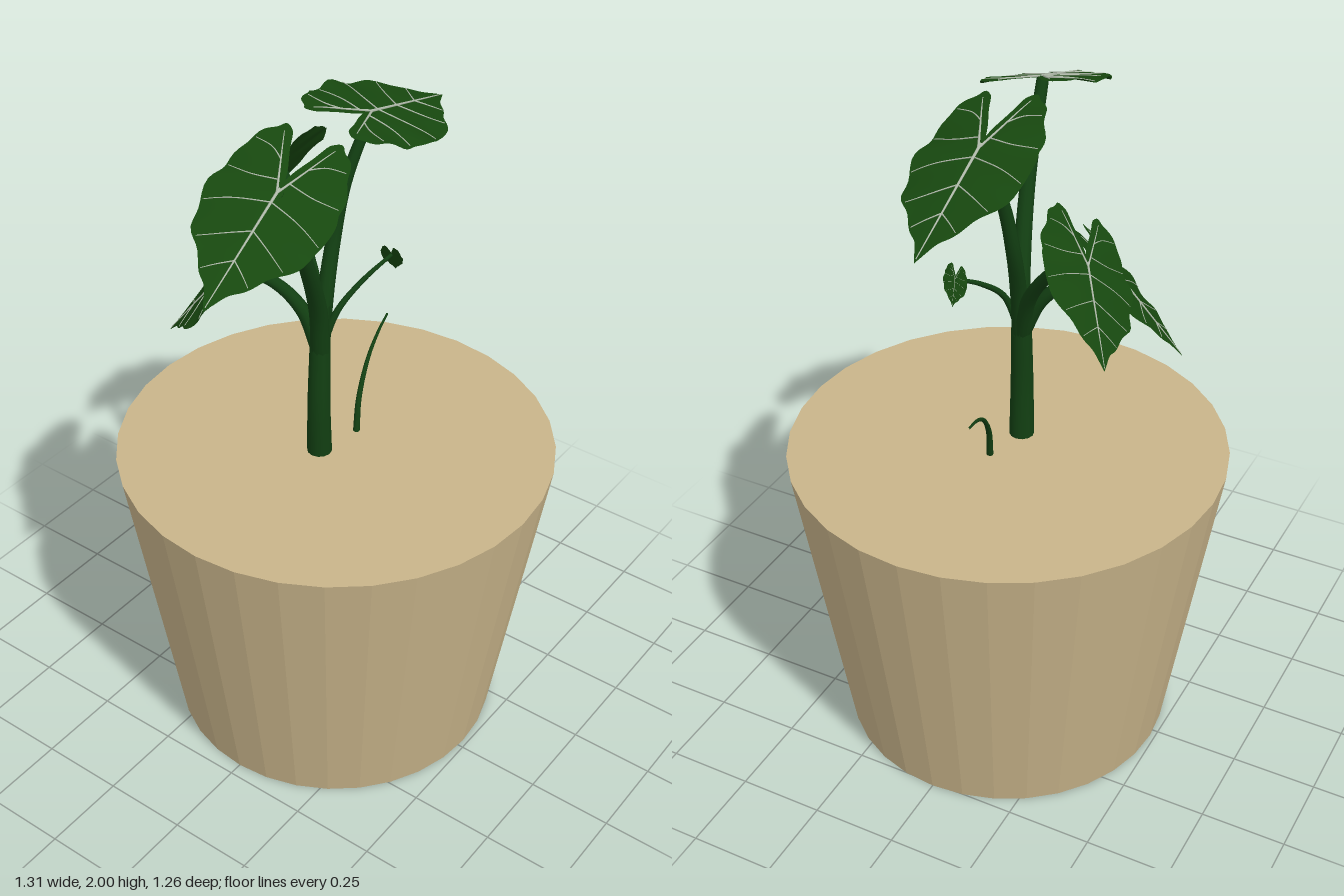
import * as THREE from 'three';
import { mergeGeometries } from 'three/addons/utils/BufferGeometryUtils.js';

const V = (a) => new THREE.Vector3(...a);
const mat = (color, opts = {}) => new THREE.MeshStandardMaterial({ color, ...opts });

// Half outline of an arrow-shaped blade: u runs from stalk (0) to tip (1), v is sideways
const OUTLINE = [[1, 0], [0.88, 0.13], [0.77, 0.3], [0.63, 0.57], [0.45, 0.84], [0.26, 0.98], [0.04, 1],
  [-0.1, 0.94], [-0.25, 0.87], [-0.39, 0.74], [-0.5, 0.58], [-0.53, 0.43], [-0.5, 0.31], [-0.36, 0.2],
  [-0.22, 0.07], [-0.12, 0]];

// Veins of one half: start, bend, end
const VEINS = [
  [[0, 0], [-0.2, 0.18], [-0.47, 0.42]],
  [[0.08, 0], [0.15, 0.5], [0.24, 0.94]],
  [[0.33, 0], [0.42, 0.35], [0.52, 0.7]],
  [[0.58, 0], [0.65, 0.2], [0.72, 0.38]],
  [[-0.1, 0.09], [-0.07, 0.5], [-0.08, 0.9]],
  [[-0.25, 0.22], [-0.32, 0.45], [-0.34, 0.74]],
];

// Tube whose radius runs from r0 to r1
function taperedTube(points, r0, r1, segments = 24, sides = 10) {
  const path = new THREE.CatmullRomCurve3(points);
  const geo = new THREE.TubeGeometry(path, segments, 1, sides);
  const pos = geo.attributes.position, p = new THREE.Vector3();
  for (let i = 0; i <= segments; i++) {
    const c = path.getPointAt(i / segments);
    const r = THREE.MathUtils.lerp(r0, r1, i / segments);
    for (let j = 0; j <= sides; j++) {
      const k = i * (sides + 1) + j;
      p.fromBufferAttribute(pos, k).sub(c).multiplyScalar(r).add(c);
      pos.setXYZ(k, p.x, p.y, p.z);
    }
  }
  return geo;
}

// Maps blade coordinates (u, v) into space, with soft waves towards the margin
function bladeMap({ at, tip, side }) {
  const P = V(at), axis = V(tip).sub(P), W = V(side);
  const n = axis.clone().cross(W);
  if (n.y < 0) { W.negate(); n.negate(); }
  n.normalize();
  const len = axis.length();
  return (u, v, lift = 0) => {
    const h = len * (0.02 * v * v * Math.sin(u * 14) - 0.025 * v * v) + lift;
    return P.clone().addScaledVector(axis, u).addScaledVector(W, v).addScaledVector(n, h);
  };
}

function bladeGeometry(map) {
  // Closed scalloped margin
  const half = new THREE.SplineCurve(OUTLINE.map(([u, v]) => new THREE.Vector2(u, v))).getPoints(60);
  const rim = half.map((p, i) => {
    const k = 1 + 0.025 * Math.sin(i * 0.9) * Math.min(1, p.y * 2);
    return [p.x * k, Math.max(0, p.y * k)];
  });
  const loop = [...rim, ...rim.slice(1, -1).reverse().map(([u, v]) => [u, -v])];
  const rings = 6, N = loop.length, pos = [], idx = [];
  for (let r = 0; r <= rings; r++)
    for (const [u, v] of loop) pos.push(...map(u * r / rings, v * r / rings).toArray());
  for (let r = 0; r < rings; r++)
    for (let i = 0; i < N; i++) {
      const j = (i + 1) % N, a = r * N + i, b = r * N + j;
      idx.push(a, a + N, b + N);
      if (r > 0) idx.push(a, b + N, b);
    }
  const geo = new THREE.BufferGeometry();
  geo.setAttribute('position', new THREE.Float32BufferAttribute(pos, 3));
  geo.setIndex(idx);
  geo.computeVertexNormals();
  return geo;
}

function veinGeometry(map, scale) {
  const r = 0.0045 * scale;
  const tube = (pts, r0, r1) => {
    const curve = new THREE.SplineCurve(pts.map(([u, v]) => new THREE.Vector2(u, v)));
    return taperedTube(curve.getPoints(10).map((p) => map(p.x, p.y, 0.002)), r0, r1, 14, 5);
  };
  const parts = [tube([[-0.04, 0], [0.5, 0], [0.97, 0]], r, r * 0.3)];
  for (const s of [1, -1])
    VEINS.forEach((vein, i) => parts.push(
      tube(vein.map(([u, v]) => [u, v * s]), r * (i ? 0.45 : 0.8), r * 0.25)));
  return mergeGeometries(parts);
}

const FORK = [-0.032, 1.27, -0.012];
const LEAVES = [
  { name: 'upperLeftLeaf', at: [0.175, 1.92, 0.003], tip: [0.567, 1.8, -0.033], side: [0.015, 0.03, -0.172],
    stalk: [[0, 1.42, -0.02], [0.06, 1.58, -0.035], [0.1, 1.74, -0.025]], r: [0.026, 0.014] },
  { name: 'upperRightLeaf', at: [-0.302, 1.915, 0.062], tip: [-0.658, 1.783, 0.118], side: [0.025, -0.025, 0.168],
    stalk: [[-0.06, 1.42, 0.003], [-0.17, 1.66, 0.04]], r: [0.028, 0.017] },
  { name: 'backRightLeaf', at: [-0.107, 1.49, -0.26], tip: [-0.167, 1.245, -0.44], side: [0.122, 0.045, -0.03],
    stalk: [[-0.037, 1.39, -0.07], [-0.06, 1.46, -0.15]], r: [0.024, 0.013] },
  { name: 'backLeftLeaf', at: [0.178, 1.667, -0.305], tip: [0.344, 1.487, -0.434], side: [0.115, 0.088, 0.068],
    stalk: [[0.015, 1.42, -0.06], [0.07, 1.55, -0.15], [0.12, 1.63, -0.225]], r: [0.024, 0.012] },
  { name: 'smallLeaf', at: [0.165, 1.52, 0.083], tip: [0.198, 1.455, 0.075], side: [0, 0.004, 0.035],
    stalk: [[0.005, 1.4, 0.02], [0.08, 1.47, 0.05]], r: [0.012, 0.005] },
];

export function createModel() {
  const model = new THREE.Group();
  const potMat = mat(0xc8b48a, { flatShading: true });
  const stemMat = mat(0x123f12);
  const leafMat = mat(0x17480f, { side: THREE.DoubleSide });
  const veinMat = mat(0xb4bfae);
  const add = (parent, name, geo, material) => {
    const mesh = new THREE.Mesh(geo, material);
    mesh.name = name;
    parent.add(mesh);
    return mesh;
  };

  // Tapered pot
  add(model, 'pot', new THREE.CylinderGeometry(0.63, 0.485, 0.935, 32), potMat).position.set(0.025, 0.4675, 0);

  // Main stem
  const stem = [[-0.037, 0.92, -0.012], [-0.042, 1.1, -0.01], [-0.035, 1.25, -0.012], [-0.025, 1.42, -0.015]];
  add(model, 'mainStem', taperedTube(stem.map(V), 0.036, 0.026, 24, 12), stemMat);

  // Bare curved sprout
  const sprout = [[0.097, 0.925, 0.02], [0.125, 1.03, 0.008], [0.195, 1.12, -0.012], [0.27, 1.165, -0.03], [0.337, 1.187, -0.045]];
  add(model, 'sprout', taperedTube(sprout.map(V), 0.01, 0.003), stemMat);

  // Leaves, each with stalk, blade and veins
  for (const leaf of LEAVES) {
    const group = new THREE.Group();
    group.name = leaf.name;
    const map = bladeMap(leaf);
    const size = V(leaf.at).distanceTo(V(leaf.tip)) / 0.4;
    add(group, 'stalk', taperedTube([FORK, ...leaf.stalk, leaf.at].map(V), ...leaf.r), stemMat);
    add(group, 'blade', bladeGeometry(map), leafMat);
    add(group, 'veins', veinGeometry(map, size), veinMat);
    model.add(group);
  }
  return model;
}
